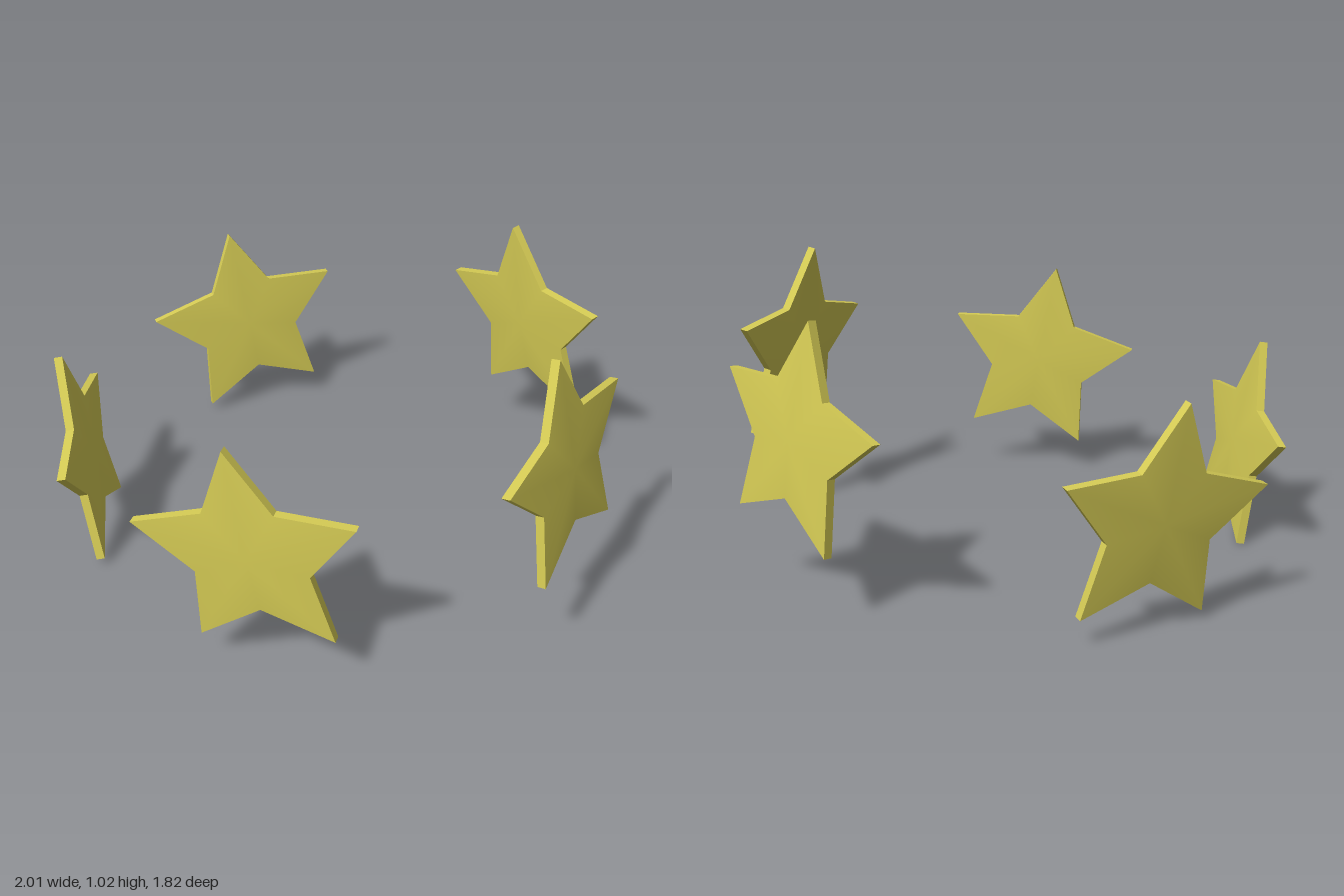
import * as THREE from 'three';
import { mergeGeometries } from 'three/addons/utils/BufferGeometryUtils.js';

const OUTER = 0.394, INNER = 0.204; // tip and notch radii
const EDGE = 0.015, APEX = 0.033;   // half thickness at the rim and at the centre
const TILT = THREE.MathUtils.degToRad(10);

function build(positions, indices) {
  const g = new THREE.BufferGeometry();
  g.setAttribute('position', new THREE.Float32BufferAttribute(positions, 3));
  g.setIndex(indices);
  return g;
}

// Five-pointed star: two softly raised faces joined by a thin flat-sided rim
function starGeometry() {
  const outline = [];
  for (let i = 0; i < 10; i++) {
    const a = Math.PI / 2 + (i * Math.PI) / 5;
    const r = i % 2 ? INNER : OUTER;
    outline.push([r * Math.cos(a), r * Math.sin(a)]);
  }

  const face = [0, 0, APEX], faceIndex = [];
  const rim = [], rimIndex = [];
  outline.forEach(([x, y], i) => {
    const n = (i + 1) % 10;
    face.push(x, y, EDGE);
    faceIndex.push(0, i + 1, n + 1);
    rim.push(x, y, EDGE, x, y, -EDGE);
    rimIndex.push(2 * i, 2 * i + 1, 2 * n, 2 * n, 2 * i + 1, 2 * n + 1);
  });

  const front = build(face, faceIndex);
  front.computeVertexNormals();
  const back = front.clone().rotateY(Math.PI);
  const side = build(rim, rimIndex).toNonIndexed();
  side.computeVertexNormals();
  return mergeGeometries([front.toNonIndexed(), back.toNonIndexed(), side]);
}

export function createModel() {
  const group = new THREE.Group();
  group.name = 'starRing';
  const geometry = starGeometry();
  const material = new THREE.MeshStandardMaterial({ color: 0xd6cc55 });

  // Star centres around the ring, each star turned a further fifth outward
  const stars = [
    ['frontStar', -0.022, 0.48, 0.87],
    ['leftFrontStar', 0.864, 0.635, 0.339],
    ['leftBackStar', 0.564, 0.584, -0.661],
    ['rightBackStar', -0.597, 0.38, -0.68],
    ['rightFrontStar', -0.857, 0.331, 0.318],
  ];
  stars.forEach(([name, x, y, z], i) => {
    const star = new THREE.Mesh(geometry, material);
    star.name = name;
    star.position.set(x, y, z);
    star.rotation.set(0, (i * 2 * Math.PI) / 5, TILT, 'ZYX'); // turn, then lean the whole ring
    group.add(star);
  });
  return group;
}
